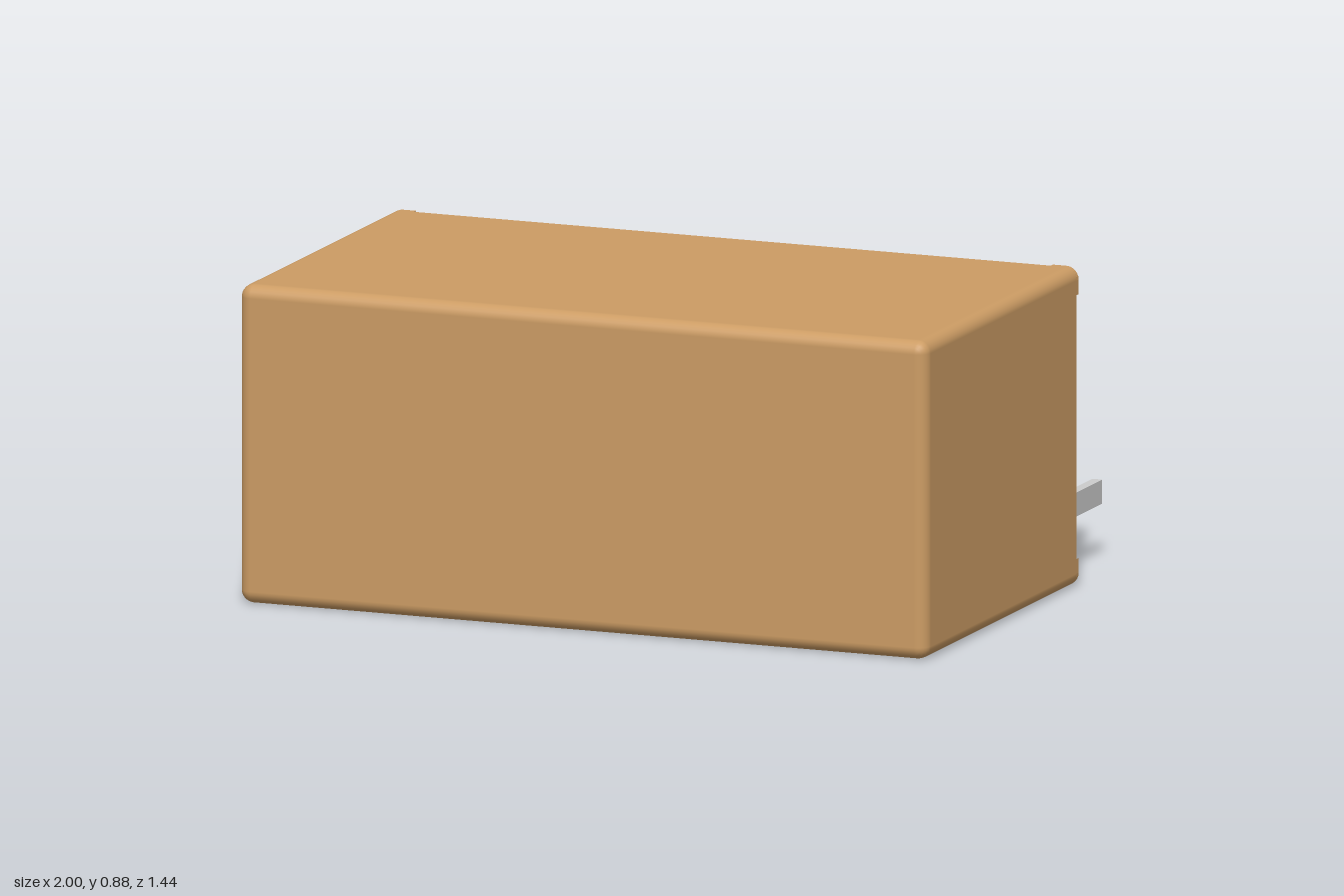
import * as THREE from 'three';

const W = 1, H = 0.4375, R = 0.035;      // half width, half height, edge radius
const BACK = -0.345, FRONT = 0.72, FOOT = -0.36;
const SEG = 6;

// Rounded-rectangle prism: filleted front rim, flat sharp back
function caseGeometry() {
  // rows: [depth, fillet radius, facing angle, 0 = collapsed to the centre]
  const rows = [[BACK, R, -Math.PI / 2, 0], [BACK, R, -Math.PI / 2, 1]];
  rows.push([BACK, R, 0, 1]);
  for (let i = 0; i <= SEG; i++) {
    const t = (i / SEG) * Math.PI / 2;
    rows.push([FRONT - R + R * Math.sin(t), R * Math.cos(t), t, 1]);
  }
  rows.push([FRONT, 0, Math.PI / 2, 0]);

  const pos = [], nor = [], idx = [];
  const n = 4 * (SEG + 1);
  for (const [z, r, t, k] of rows) {
    for (let q = 0; q < 4; q++) {
      const cx = (q === 0 || q === 3 ? 1 : -1) * (W - R);
      const cy = (q < 2 ? 1 : -1) * (H - R);
      for (let i = 0; i <= SEG; i++) {
        const a = (q + i / SEG) * Math.PI / 2, c = Math.cos(a), s = Math.sin(a);
        pos.push(k * (cx + r * c), k * (cy + r * s), z);
        nor.push(c * Math.cos(t), s * Math.cos(t), Math.sin(t));
      }
    }
  }
  for (let i = 0; i < rows.length - 1; i++) {
    for (let j = 0; j < n; j++) {
      const a = i * n + j, b = i * n + (j + 1) % n;
      idx.push(a, b, b + n, a, b + n, a + n);
    }
  }
  const g = new THREE.BufferGeometry();
  g.setAttribute('position', new THREE.Float32BufferAttribute(pos, 3));
  g.setAttribute('normal', new THREE.Float32BufferAttribute(nor, 3));
  g.setIndex(idx);
  return g;
}

// Triangular standoff with a rounded outer corner
function footGeometry(sx, sy) {
  const leg = 0.075;
  const s = new THREE.Shape();
  s.moveTo(sx * (W - leg), sy * H);
  s.lineTo(sx * (W - R), sy * H);
  for (let i = 1; i <= SEG; i++) {
    const a = (i / SEG) * Math.PI / 2;
    s.lineTo(sx * (W - R + R * Math.sin(a)), sy * (H - R + R * Math.cos(a)));
  }
  s.lineTo(sx * W, sy * (H - leg));
  s.closePath();
  const g = new THREE.ExtrudeGeometry(s, { depth: BACK - FOOT, bevelEnabled: false });
  return g.translate(0, 0, FOOT);
}

export function createModel() {
  const model = new THREE.Group();
  const caseMat = new THREE.MeshStandardMaterial({ color: 0xcc9c64 });
  const pinMat = new THREE.MeshStandardMaterial({ color: 0xcccccc });
  const add = (name, geo, mat, x, y, z) => {
    const m = new THREE.Mesh(geo, mat);
    m.name = name;
    m.position.set(x, y, z);
    model.add(m);
  };

  add('case', caseGeometry(), caseMat, 0, H, 0);

  // Corner standoffs on the back
  for (const sx of [-1, 1]) for (const sy of [-1, 1]) {
    add('cornerFoot', footGeometry(sx, sy), caseMat, 0, H, 0);
  }

  // Flat terminal pins
  const pinGeo = new THREE.BoxGeometry(0.028, 0.066, 0.375);
  for (const [x, y] of [[-0.842, 0.698], [-0.842, 0.181], [0.558, 0.698], [0.906, 0.181]]) {
    add('pin', pinGeo, pinMat, x, y, BACK - 0.1875);
  }
  return model;
}
